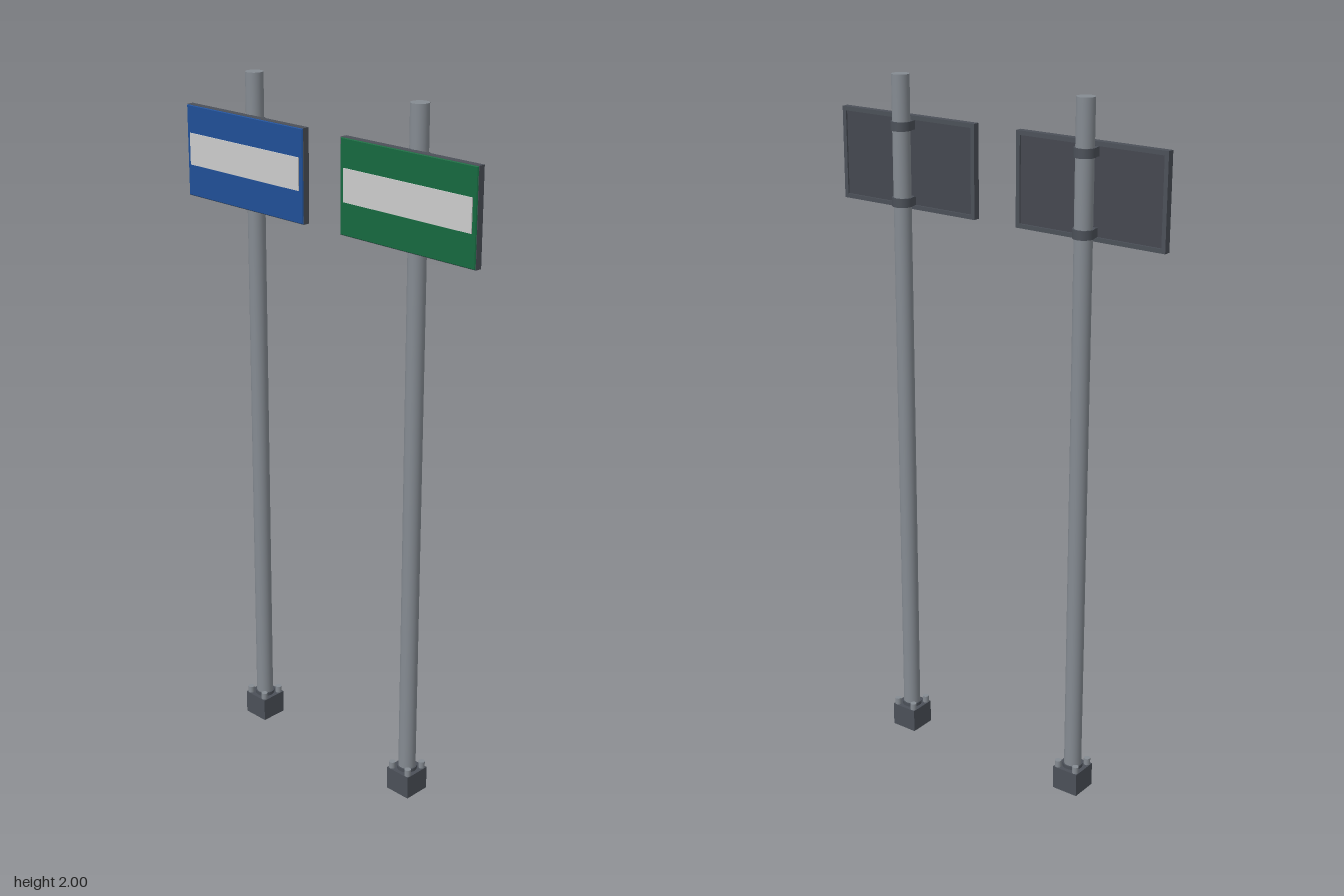
import * as THREE from 'three';

const mat = (color) => new THREE.MeshStandardMaterial({ color });
const steel = mat(0x858b92), dark = mat(0x4b5058), backing = mat(0x44474f), white = mat(0xcccccc);
const POLE_Z = -0.006;

function add(parent, name, geometry, material, x = 0, y = 0, z = 0) {
  const mesh = new THREE.Mesh(geometry, material);
  mesh.name = name;
  mesh.position.set(x, y, z);
  parent.add(mesh);
  return mesh;
}

// Rectangular ring in the XY plane, extruded along +z
function frameGeometry(w, h, rim, depth) {
  const rect = (Type, a, b) => new Type([
    new THREE.Vector2(-a, -b), new THREE.Vector2(a, -b),
    new THREE.Vector2(a, b), new THREE.Vector2(-a, b)]);
  const shape = rect(THREE.Shape, w / 2, h / 2);
  shape.holes.push(rect(THREE.Path, w / 2 - rim, h / 2 - rim));
  return new THREE.ExtrudeGeometry(shape, { depth, bevelEnabled: false });
}

// Box whose front face is pulled in on all sides
function bevelledPlate(w, h, depth, inset) {
  const geometry = new THREE.BoxGeometry(w, h, depth);
  const p = geometry.attributes.position;
  for (let i = 0; i < p.count; i++) {
    if (p.getZ(i) > 0) {
      p.setX(i, p.getX(i) - Math.sign(p.getX(i)) * inset);
      p.setY(i, p.getY(i) - Math.sign(p.getY(i)) * inset);
    }
  }
  geometry.computeVertexNormals();
  return geometry;
}

function createBase() {
  const base = new THREE.Group();
  base.name = 'base';
  // Socket open at the bottom, closed by a top plate
  const walls = add(base, 'baseWalls', frameGeometry(0.081, 0.081, 0.009, 0.06), dark);
  walls.rotation.x = -Math.PI / 2;
  add(base, 'baseTop', new THREE.BoxGeometry(0.081, 0.012, 0.081), dark, 0, 0.064, 0);
  add(base, 'baseCollar', new THREE.CylinderGeometry(0.029, 0.029, 0.012, 24), dark, 0, 0.074, 0);
  // Corner bolts
  for (const x of [-1, 1]) {
    for (const z of [-1, 1]) {
      add(base, 'bolt', new THREE.CylinderGeometry(0.0095, 0.0095, 0.022, 12), steel, x * 0.03, 0.079, z * 0.03);
    }
  }
  base.position.z = POLE_Z;
  return base;
}

function createBoard(color) {
  const board = new THREE.Group();
  board.name = 'board';
  const w = 0.464, h = 0.26;
  add(board, 'frame', frameGeometry(w, h, 0.012, 0.02), dark, 0, 0, 0.017);
  add(board, 'backPanel', new THREE.BoxGeometry(w - 0.02, h - 0.02, 0.014), backing, 0, 0, 0.029);
  add(board, 'face', bevelledPlate(w - 0.002, h - 0.002, 0.003, 0.002), mat(color), 0, 0, 0.0385);
  add(board, 'stripe', new THREE.BoxGeometry(0.436, 0.09, 0.004), white, 0, 0.006, 0.041);
  board.position.y = 1.756;
  return board;
}

function createClamp(y) {
  const clamp = new THREE.Group();
  clamp.name = 'clamp';
  add(clamp, 'band', new THREE.CylinderGeometry(0.0295, 0.0295, 0.025, 24), dark, 0, 0, POLE_Z);
  add(clamp, 'bracket', new THREE.BoxGeometry(0.05, 0.025, 0.02), dark, 0, 0, 0.014);
  clamp.position.y = y;
  return clamp;
}

function createSign(name, x, color) {
  const sign = new THREE.Group();
  sign.name = name;
  add(sign, 'pole', new THREE.CylinderGeometry(0.025, 0.025, 1.94, 24), steel, 0, 1.03, POLE_Z);
  sign.add(createBase(), createBoard(color), createClamp(1.86), createClamp(1.65));
  sign.position.x = x;
  return sign;
}

export function createModel() {
  const model = new THREE.Group();
  model.name = 'signPosts';
  model.add(createSign('rightSign', -0.301, 0x1f4f96), createSign('leftSign', 0.301, 0x16683f));
  return model;
}
